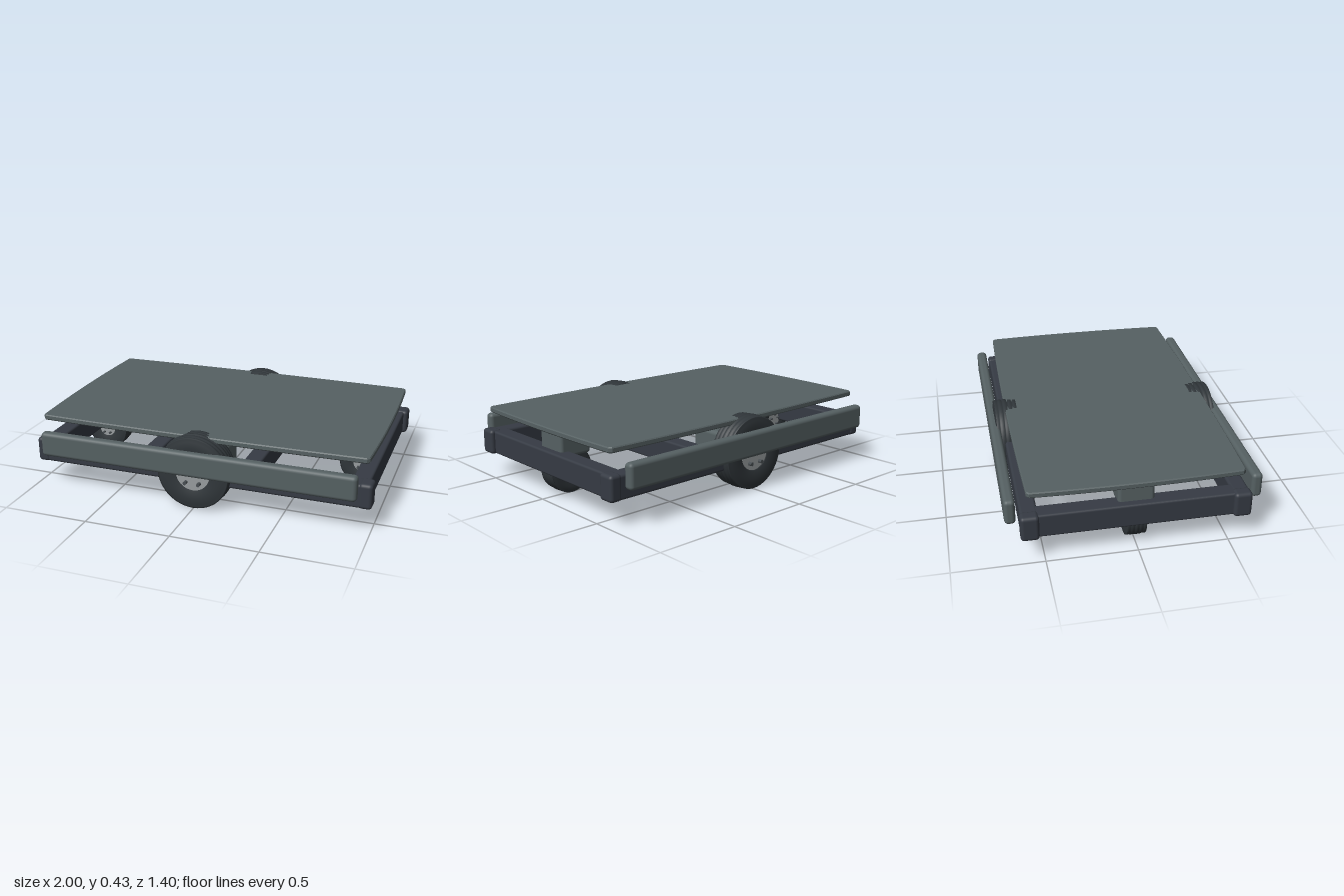
import * as THREE from 'three';
import { RoundedBoxGeometry } from 'three/addons/geometries/RoundedBoxGeometry.js';

const mat = (name, color) => Object.assign(new THREE.MeshStandardMaterial({ color }), { name });

export function createModel() {
  const root = new THREE.Group();
  root.name = 'wheeledPlatform';
  const panel = mat('slatePanel', 0x566163);
  const frame = mat('darkFrame', 0x363b44);
  const rubber = mat('tyreRubber', 0x30363a);
  const metal = mat('hubMetal', 0x989d9f);
  const boltDark = mat('boltMetal', 0x4a5054);

  const add = (parent, name, geo, material, x = 0, y = 0, z = 0) => {
    const m = new THREE.Mesh(geo, material);
    m.name = name;
    m.position.set(x, y, z);
    parent.add(m);
    return m;
  };
  const box = (name, w, h, d, r, material, x, y, z) =>
    add(root, name, new RoundedBoxGeometry(w, h, d, 3, r), material, x, y, z);

  // Ribbed tyre with a metal hub and bolts on both faces; axle along z
  function wheel(name, radius, width, hubR, boltR, x, y, z, axle) {
    const g = new THREE.Group();
    g.name = name;
    g.position.set(x, y, z);
    const h = width / 2, r = radius, ribs = 5;
    const pts = [[hubR, -h * 0.8], [hubR * 1.06, -h * 0.97], [r * 0.72, -h], [r * 0.88, -h * 0.97], [r * 0.95, -h * 0.86]];
    for (let i = 0; i < ribs; i++) {
      const c = (-0.8 + (1.6 * i) / (ribs - 1)) * h;
      const top = r * (1 - 0.02 * Math.abs(i - 2) / 2);
      pts.push([top, c - h * 0.12], [top, c + h * 0.12]);
      if (i < ribs - 1) pts.push([r * 0.95, c + h * 0.2]);
    }
    pts.push([r * 0.95, h * 0.86], [r * 0.88, h * 0.97], [r * 0.72, h], [hubR * 1.06, h * 0.97], [hubR, h * 0.8]);
    const tyre = new THREE.LatheGeometry(pts.map(p => new THREE.Vector2(...p)), 48).rotateX(Math.PI / 2);
    add(g, 'tyre', tyre, rubber);
    add(g, 'hub', new THREE.CylinderGeometry(hubR * 1.01, hubR * 1.01, width * 0.92, 32).rotateX(Math.PI / 2), metal);
    const boltLen = width + axle;
    for (let i = 0; i < 5; i++) {
      const a = -Math.PI / 2 + Math.PI / 5 + (i * Math.PI * 2) / 5;
      add(g, 'hubBolt', new THREE.CylinderGeometry(boltR, boltR, boltLen, 10).rotateX(Math.PI / 2), boltDark,
        Math.cos(a) * hubR * 0.68, Math.sin(a) * hubR * 0.68, 0);
    }
    root.add(g);
  }

  // Deck: thin slab with slightly bowed edges
  const s = new THREE.Shape();
  s.moveTo(-0.955, -0.585);
  s.quadraticCurveTo(0, -0.615, 0.955, -0.585);
  s.lineTo(0.97, -0.57);
  s.quadraticCurveTo(1.0, 0, 0.97, 0.57);
  s.lineTo(0.955, 0.585);
  s.quadraticCurveTo(0, 0.615, -0.955, 0.585);
  s.lineTo(-0.97, 0.57);
  s.quadraticCurveTo(-1.0, 0, -0.97, -0.57);
  const deck = new THREE.ExtrudeGeometry(s, {
    depth: 0.02, bevelEnabled: true, bevelThickness: 0.006, bevelSize: 0.005, bevelOffset: -0.005, bevelSegments: 1, curveSegments: 16,
  }).rotateX(-Math.PI / 2);
  add(root, 'deck', deck, panel, 0, 0.392, 0);

  for (const sgn of [-1, 1]) {
    // Ladder frame
    box('sideRail', 1.97, 0.138, 0.095, 0.015, frame, 0, 0.208, sgn * 0.573);
    box('endBeam', 0.1, 0.136, 1.1, 0.012, frame, sgn * 0.925, 0.208, 0);
    box('crossBeam', 0.1, 0.136, 1.1, 0.012, frame, sgn * 0.3, 0.208, 0);
    for (const e of [-1, 1]) box('cornerCap', 0.075, 0.146, 0.1, 0.02, frame, e * 0.9625, 0.21, sgn * 0.575);

    // Outer bumper panel and motor housing
    box('sideBumper', 1.86, 0.145, 0.06, 0.022, panel, 0, 0.278, sgn * 0.67);
    box('motorHousing', 0.29, 0.23, 0.23, 0.025, panel, 0, 0.217, sgn * 0.425);

    // Drive wheel, caster mount and caster wheel
    wheel('driveWheel', 0.215, 0.14, 0.1, 0.011, 0, 0.215, sgn * 0.595, 0.035);
    box('casterMount', 0.2, 0.15, 0.2, 0.02, panel, sgn * 0.833, 0.315, 0);
    wheel('casterWheel', 0.135, 0.115, 0.052, 0.007, sgn * 0.833, 0.15, 0, 0.025);
  }
  return root;
}
